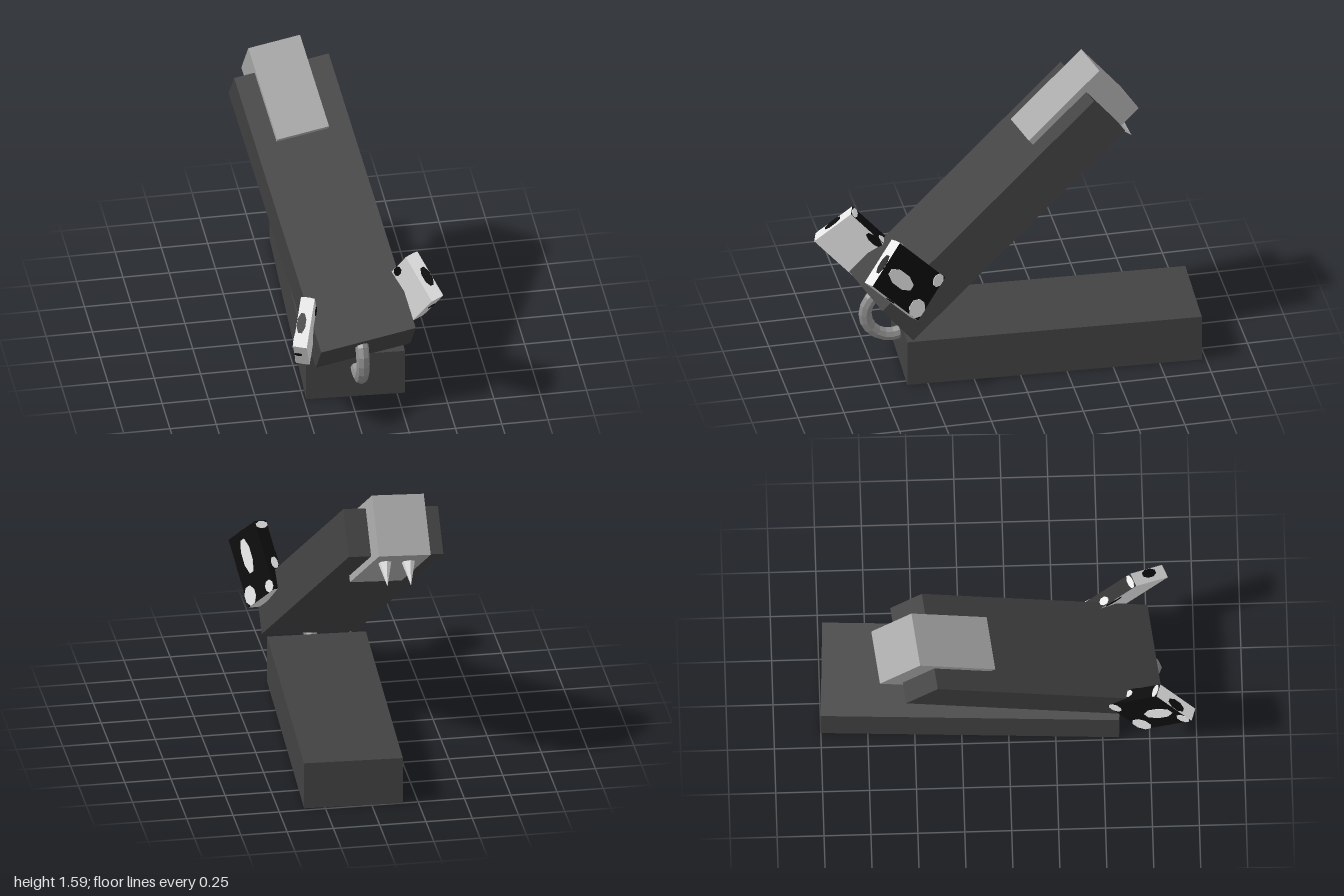
import * as THREE from 'three';

const V = (x, y, z) => new THREE.Vector3(x, y, z);

function material(name, color) {
  const m = new THREE.MeshStandardMaterial({ color });
  m.name = name;
  return m;
}

function add(parent, name, geometry, mat, x = 0, y = 0, z = 0) {
  const mesh = new THREE.Mesh(geometry, mat);
  mesh.name = name;
  mesh.position.set(x, y, z);
  parent.add(mesh);
  return mesh;
}

// Group oriented by three perpendicular directions
function framed(name, center, xAxis, yAxis) {
  const x = xAxis.clone().normalize();
  const z = x.clone().cross(yAxis).normalize();
  const y = z.clone().cross(x);
  const group = new THREE.Group();
  group.name = name;
  group.quaternion.setFromRotationMatrix(new THREE.Matrix4().makeBasis(x, y, z));
  group.position.copy(center);
  return group;
}

// Thin eight-sided spot lying on a face whose normal is the given axis
function spot(parent, mat, axis, pos, size) {
  const g = new THREE.CylinderGeometry(0.54, 0.54, 1, 8).toNonIndexed();
  g.rotateY(Math.PI / 8);
  if (axis === 'x') g.rotateZ(Math.PI / 2);
  if (axis === 'z') g.rotateX(Math.PI / 2);
  g.computeVertexNormals();
  add(parent, 'spot', g, mat, ...pos).scale.set(...size);
}

export function createModel() {
  const root = new THREE.Group();
  root.name = 'model';
  const dark = material('charcoal', 0x424242);
  const grey = material('mid grey', 0xa9a9a9);
  const pale = material('pale grey', 0xe6e6e6);
  const black = material('black', 0x0c0c0c);
  const steel = material('steel grey', 0x8c8c8c);

  // Lower block
  const block = new THREE.BoxGeometry(0.53, 0.265, 1.59);
  add(root, 'base', block, dark, 0.0625, 0.1325, -0.195).rotation.y = -0.044;

  // Raised upper block with the head at its far end
  const arm = framed('arm', V(-0.0675, 0.8675, 0.10), V(0.525, 0.055, -0.07), V(0, 0.77, 0.635));
  root.add(arm);
  add(arm, 'upperBlock', block, dark);
  add(arm, 'head', new THREE.BoxGeometry(0.29, 0.337, 0.53), grey, -0.005, 0, -0.66);

  // Fangs under the head
  for (const side of [-1, 1]) {
    const cone = new THREE.ConeGeometry(0.038, 0.14, 6).toNonIndexed();
    cone.computeVertexNormals();
    cone.rotateX(Math.PI);
    add(arm, 'fang', cone, pale, side * 0.066, -0.23, -0.79);
  }

  // Curved link between the two blocks
  const link = new THREE.TorusGeometry(0.142, 0.036, 8, 10, THREE.MathUtils.degToRad(187)).toNonIndexed();
  link.computeVertexNormals();
  link.rotateZ(THREE.MathUtils.degToRad(-112));
  link.rotateY(-Math.PI / 2);
  add(root, 'link', link, steel, 0.037, 0.315, 0.645);

  // Flared spotted plates, set by three corners of the outer face
  const L = 0.274, H = 0.39, T = 0.074, thin = 0.006;
  const plates = [
    [1, V(0.35, 0.92, 0.66), V(0.46, 0.74, 0.83), V(0.40, 0.465, 0.58)],
    [-1, V(-0.30, 0.78, 0.79), V(-0.375, 0.59, 0.975), V(-0.31, 0.32, 0.70)],
  ];
  for (const [side, a, b, c] of plates) {
    const u = b.clone().sub(a), v = b.clone().sub(c);
    const w = u.clone().cross(v).normalize();
    const center = a.clone().add(c).multiplyScalar(0.5).addScaledVector(w, side * T / 2);
    const ear = framed(side > 0 ? 'leftEar' : 'rightEar', center, u, v);
    root.add(ear);
    const outer = -side;
    const mats = [pale, black, pale, pale, outer > 0 ? black : pale, outer > 0 ? pale : black];
    add(ear, 'earPlate', new THREE.BoxGeometry(L, H, T), mats);

    // Pale spots on the black outer face: along, down, width, height as fractions
    const spots = [[0.56, 0.36, 0.3, 0.48], [0.82, 0.87, 0.36, 0.26], [0.13, 0.92, 0.26, 0.16]];
    if (side < 0) spots.push([0.87, 0.08, 0.26, 0.16]);
    for (const [p, q, sx, sy] of spots) {
      spot(ear, pale, 'z', [(p - 0.5) * L, (0.5 - q) * H, outer * T / 2], [sx * L, sy * H, thin]);
    }
    // Black spots on the inner face, top edge and front edge
    spot(ear, black, 'z', [-0.42 * L, -0.02 * H, -outer * T / 2], [0.16 * L, 0.28 * H, thin]);
    spot(ear, black, 'y', [0.02 * L, H / 2, outer * 0.012], [0.4 * L, thin, 0.046]);
    spot(ear, black, 'x', [L / 2, 0.06 * H, outer * 0.016], [thin, 0.14 * H, 0.04]);
    // Pale spots on the back edge
    spot(ear, pale, 'x', [-L / 2, 0.44 * H, 0], [thin, 0.1 * H, T * 0.95]);
    spot(ear, pale, 'x', [-L / 2, -0.12 * H, -outer * 0.012], [thin, 0.16 * H, 0.04]);
  }
  return root;
}
